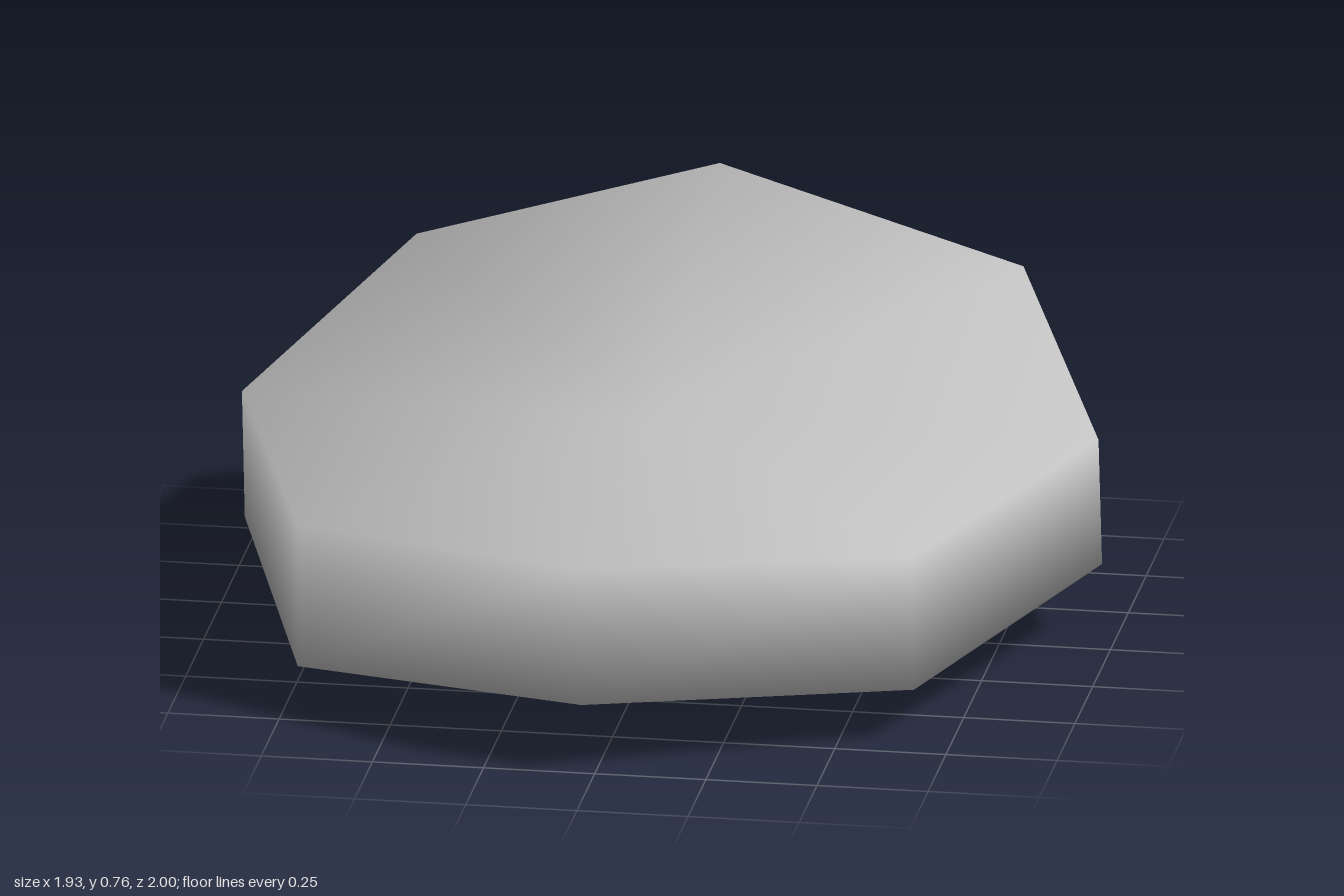
import * as THREE from 'three';

// Matching rings of eight corners, counter-clockwise from the front: [x, y, z]
const rim = [
  [-0.03, 0.48, 1], [0.66, 0.43, 0.67], [0.965, 0.475, -0.05], [0.7, 0.66, -0.65],
  [-0.03, 0.76, -0.945], [-0.67, 0.65, -0.68], [-0.965, 0.475, -0.07], [-0.72, 0.43, 0.67],
];
const base = [
  [-0.03, 0.16, 1], [0.665, 0.12, 0.67], [0.965, 0.165, -0.1], [0.66, 0.14, -0.76],
  [-0.03, 0.015, -1], [-0.64, 0.14, -0.76], [-0.965, 0.165, -0.11], [-0.72, 0.1, 0.675],
];
const topCentre = [-0.03, 0.475, -0.05];
const baseCentre = [-0.03, 0, -0.1];

// Closed body: a wall between the rings and a fan over each end, smooth all over
function bodyGeometry() {
  const n = rim.length;
  const points = [...rim, ...base, topCentre, baseCentre];
  const index = [];
  for (let i = 0; i < n; i++) {
    const j = (i + 1) % n;
    index.push(n + i, n + j, j, n + i, j, i); // wall
    index.push(2 * n, i, j); // top fan
    index.push(2 * n + 1, n + j, n + i); // base fan
  }
  const geometry = new THREE.BufferGeometry();
  geometry.setAttribute('position', new THREE.Float32BufferAttribute(points.flat(), 3));
  geometry.setIndex(index);
  geometry.computeVertexNormals();
  return geometry;
}

export function createModel() {
  const grey = new THREE.MeshStandardMaterial({ color: 0xc0c0c0 });
  grey.name = 'grey';

  const group = new THREE.Group();
  group.name = 'facetedSlab';
  const body = new THREE.Mesh(bodyGeometry(), grey);
  body.name = 'slabBody';
  group.add(body);
  return group;
}
